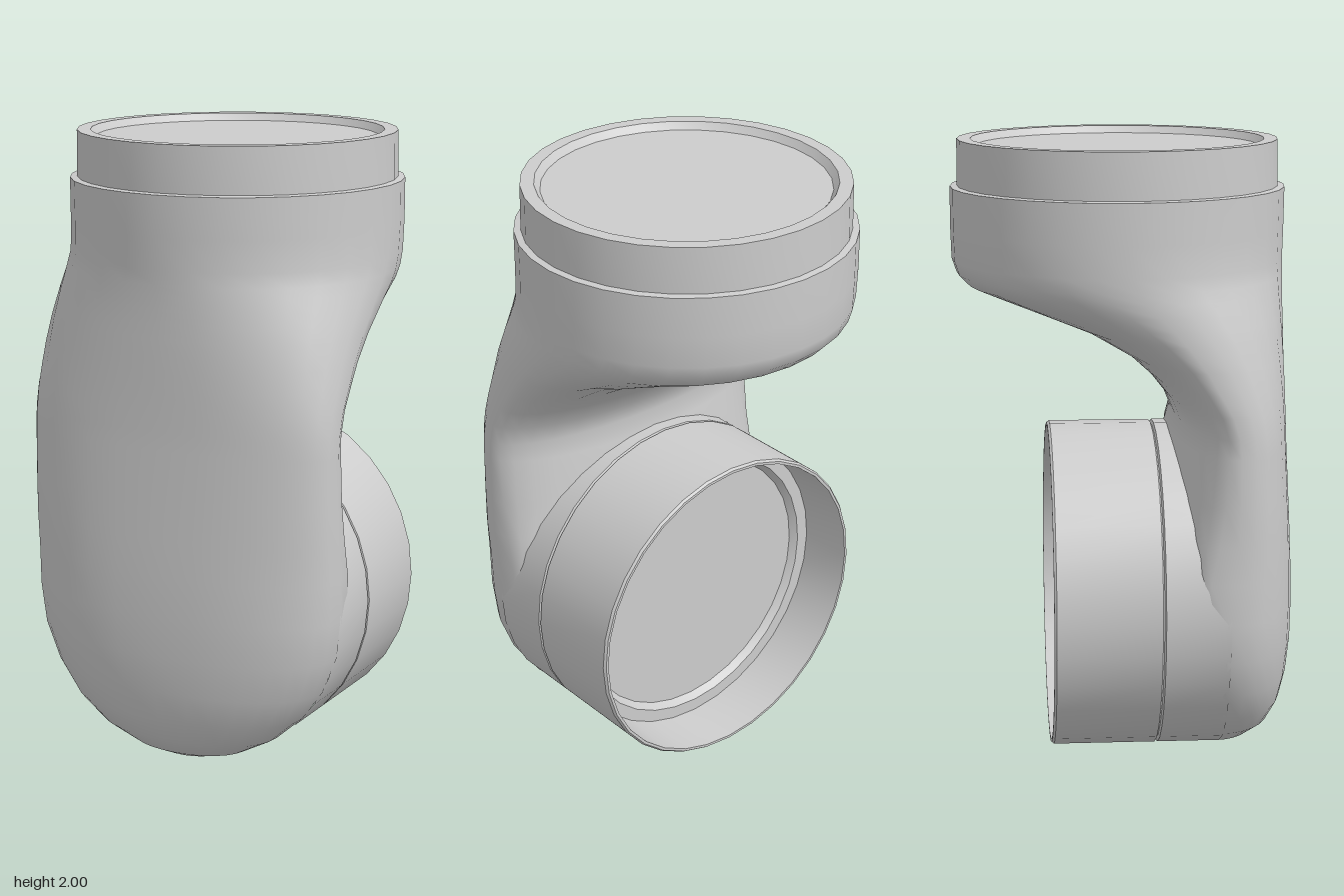
import * as THREE from 'three';
import { toCreasedNormals } from 'three/addons/utils/BufferGeometryUtils.js';

const R = 0.535;
const SIDES = 32;
const shellMaterial = new THREE.MeshStandardMaterial({ color: 0xcccccc });
shellMaterial.name = 'light grey shell';

// Turned part from [radius, height] pairs listed from the bottom up
function turned(name, points) {
  const lathe = new THREE.LatheGeometry(points.map(p => new THREE.Vector2(...p)), SIDES);
  const mesh = new THREE.Mesh(toCreasedNormals(lathe, 0.6), shellMaterial);
  mesh.name = name;
  return mesh;
}

// Half-width of the elbow: round at the bottom, straight above
const halfWidth = y => y < R ? Math.sqrt(Math.max(0, R * R - (R - y) ** 2)) : R;

// Sections of the elbow:
// [y, z of widest line, front z, back z, front squareness, back squareness]
const sections = [
  [1.85, -0.013, 0.522, -0.548, 2, 2],
  [1.72, -0.013, 0.52, -0.548, 2, 2],
  [1.62, 0.0, 0.517, -0.545, 2, 2],
  [1.575, 0.02, 0.516, -0.53, 2.1, 2],
  [1.54, 0.05, 0.515, -0.495, 2.15, 2],
  [1.5, 0.09, 0.515, -0.39, 2.2, 2],
  [1.455, 0.13, 0.515, -0.27, 2.25, 2],
  [1.41, 0.17, 0.516, -0.145, 2.3, 2],
  [1.33, 0.23, 0.517, 0.0, 2.35, 2],
  [1.26, 0.27, 0.518, 0.08, 2.4, 2],
  [1.19, 0.31, 0.519, 0.135, 2.4, 2],
  [1.12, 0.33, 0.521, 0.163, 2.4, 2],
  [1.06, 0.335, 0.523, 0.145, 2.4, 2],
  [0.9, 0.335, 0.532, 0.13, 2.4, 2.2],
  [0.78, 0.33, 0.539, 0.13, 2.4, 2.7],
  [0.66, 0.31, 0.546, 0.13, 2.4, 3.2],
  [0.53, 0.3, 0.55, 0.15, 2.4, 3],
  [0.4, 0.3, 0.549, 0.15, 2.35, 2],
  [0.28, 0.3, 0.54, 0.15, 2.3, 2],
  [0.18, 0.3, 0.521, 0.15, 2.3, 2],
  [0.1, 0.3, 0.49, 0.15, 2.2, 2],
  [0.04, 0.3, 0.435, 0.18, 2.1, 2],
  [0.012, 0.3, 0.38, 0.22, 2, 2],
  [0.001, 0.3, 0.31, 0.29, 2, 2],
];

// Elbow skin lofted through the sections
function elbowGeometry() {
  const positions = [], index = [];
  sections.forEach(([y, mid, front, back, frontPower, backPower], row) => {
    const w = halfWidth(y);
    for (let j = 0; j < SIDES; j++) {
      const a = j / SIDES * Math.PI * 2, c = Math.cos(a), s = Math.sin(a);
      const e = 2 / (s > 0 ? frontPower : backPower);
      const x = w * Math.sign(c) * Math.abs(c) ** e;
      const z = mid + ((s > 0 ? front : back) - mid) * Math.abs(s) ** e;
      positions.push(x, y, z);
      if (row === sections.length - 1) continue;
      const k = (j + 1) % SIDES, p = row * SIDES, q = p + SIDES;
      index.push(p + j, p + k, q + j, p + k, q + k, q + j);
    }
  });
  const g = new THREE.BufferGeometry();
  g.setAttribute('position', new THREE.Float32BufferAttribute(positions, 3));
  g.setIndex(index);
  g.computeVertexNormals();
  return g;
}

export function createModel() {
  const model = new THREE.Group();
  model.name = 'jointHousing';

  const elbow = new THREE.Mesh(elbowGeometry(), shellMaterial);
  elbow.name = 'elbowShell';
  model.add(elbow);

  // Upper flange with a slightly sunk end plate
  const flange = turned('upperFlange', [
    [R, 1.85], [0.513, 1.853], [0.511, 2], [0.468, 2], [0.45, 1.977], [0, 1.977],
  ]);
  flange.position.z = -0.013;
  model.add(flange);

  // Lower joint, turned about the z axis and facing back
  const joint = new THREE.Group();
  joint.name = 'lowerJoint';
  joint.add(turned('jointBarrel', [[R, -0.31], [R, -0.106], [0.526, -0.101]]));
  joint.add(turned('jointCollar', [
    [0.526, -0.101], [R, -0.096], [R, 0.234], [0.529, 0.242], [0.52, 0.242],
    [0.511, 0.06], [0.468, 0.06], [0.45, 0.037], [0, 0.037],
  ]));
  joint.rotation.x = -Math.PI / 2;
  joint.position.y = R;
  model.add(joint);

  return model;
}
